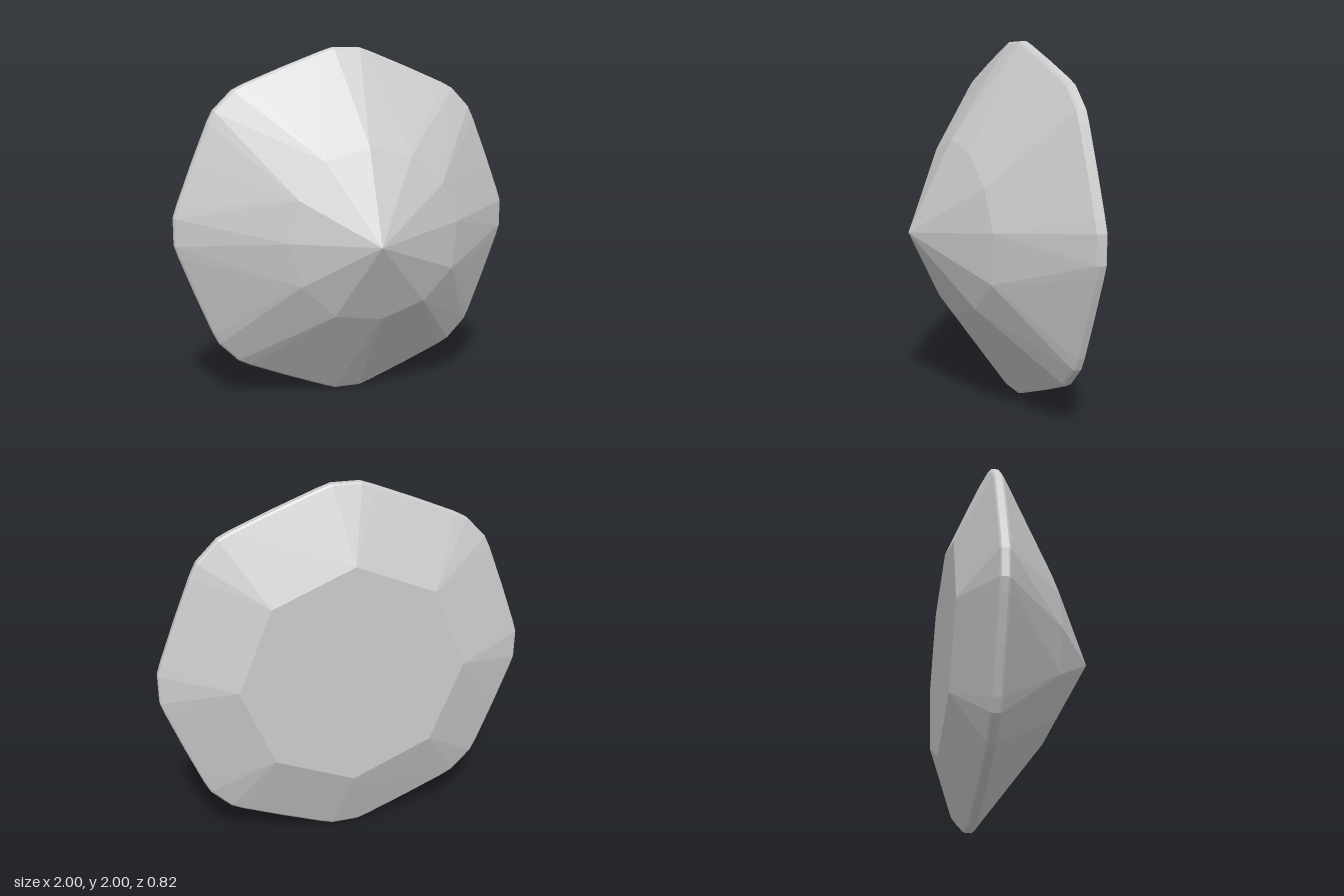
import * as THREE from 'three';
import { ConvexGeometry } from 'three/addons/geometries/ConvexGeometry.js';

const CENTRE_Y = 1;

// Rounded octagon outline at depth z: five points per soft corner
function girdleRing(z, scale) {
  const corner = [[-8.5, 0.988], [-4.4, 1.003], [4.4, 1.003], [8.5, 0.988], [22.5, 0.965]];
  const points = [];
  for (let i = 0; i < 8; i++) {
    for (const [offset, radius] of corner) {
      const a = THREE.MathUtils.degToRad(i * 45 + offset);
      const r = radius * scale * (i % 2 && offset !== 22.5 ? 1.008 : 1);
      points.push(new THREE.Vector3(Math.cos(a) * r, CENTRE_Y + Math.sin(a) * r, z));
    }
  }
  return points;
}

// Flat octagonal table at the back
function tableRing(z, radius) {
  return Array.from({ length: 8 }, (_, i) => {
    const a = (i * Math.PI) / 4;
    return new THREE.Vector3(Math.cos(a) * radius, CENTRE_Y + Math.sin(a) * radius, z);
  });
}

export function createModel() {
  const group = new THREE.Group();
  group.name = 'gemstone';

  // Hand-cut, slightly irregular facet corners around the off-centre point
  const facetCorners = [
    [0.54, 1.03, 0.14], [0.44, 1.25, 0.15], [0.25, 1.41, 0.155], [0, 1.47, 0.165],
    [-0.25, 1.4, 0.165], [-0.4, 1.2, 0.17], [-0.45, 0.97, 0.17], [-0.39, 0.73, 0.17],
    [-0.2, 0.55, 0.17], [0.07, 0.51, 0.17], [0.33, 0.59, 0.155], [0.51, 0.76, 0.14],
  ].map((p) => new THREE.Vector3(...p));
  const apex = new THREE.Vector3(-0.02, 0.965, 0.41);

  // A cut stone is convex, so its facets are the hull of its rings
  const geometry = new ConvexGeometry([
    apex,
    ...facetCorners,
    ...girdleRing(-0.2, 0.99),
    ...girdleRing(-0.212, 1),
    ...girdleRing(-0.248, 1),
    ...girdleRing(-0.256, 0.99),
    ...tableRing(-0.41, 0.615),
  ]);
  const material = new THREE.MeshStandardMaterial({ color: 0xcccccc, flatShading: true });
  const stone = new THREE.Mesh(geometry, material);
  stone.name = 'cutStone';
  group.add(stone);
  return group;
}
